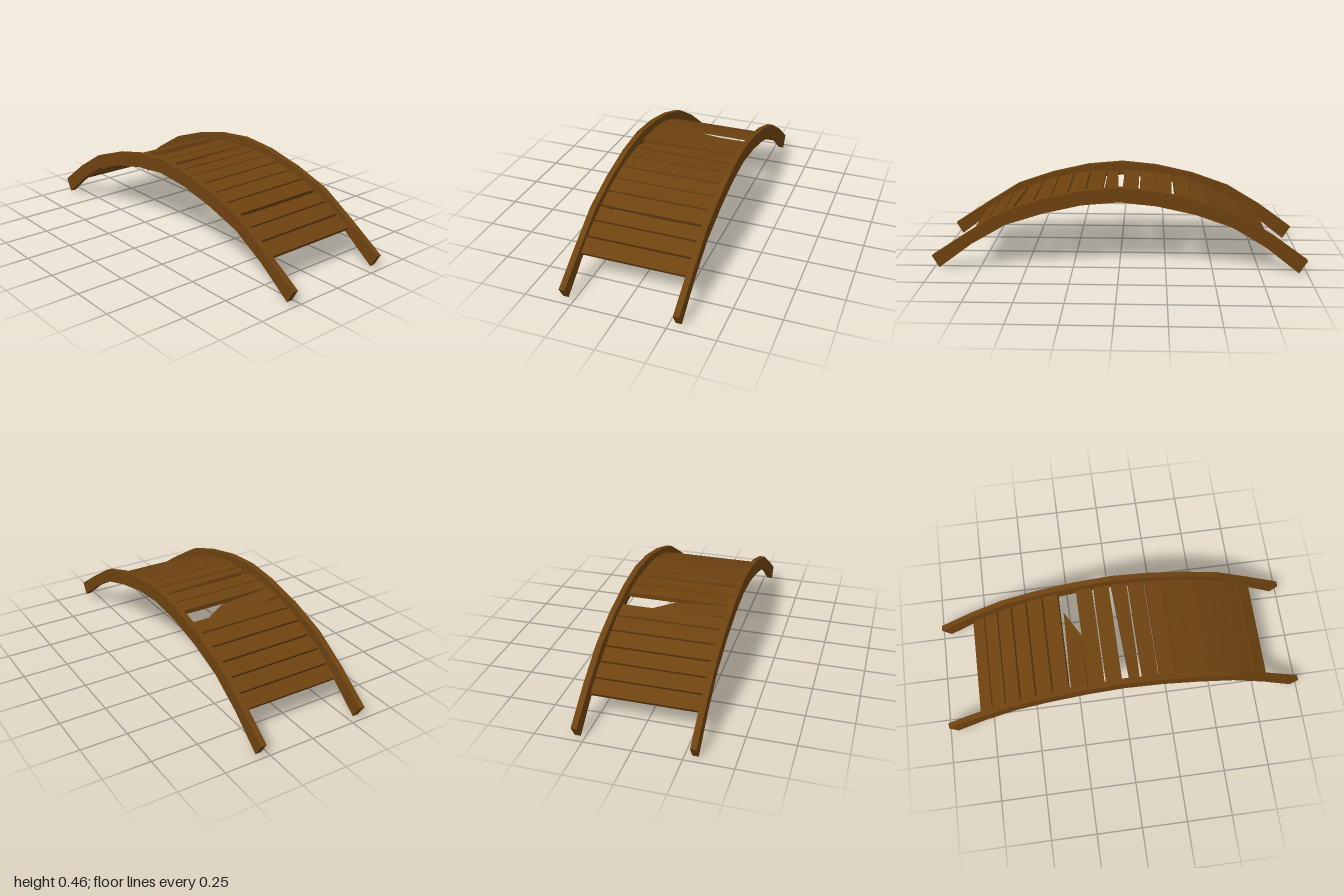
import * as THREE from 'three';

const wood = new THREE.MeshStandardMaterial({ color: 0x6e4210 });
wood.name = 'brown wood';

const THICK = 0.025;
const HALF = 0.284;

// Arch outline as [z, y] points
const RAIL_TOP = [[1, 0.08], [0.8, 0.212], [0.615, 0.327], [0.41, 0.397], [0.2, 0.445], [0, 0.463],
  [-0.2, 0.443], [-0.41, 0.396], [-0.62, 0.322], [-0.81, 0.208], [-1, 0.07]];
const RAIL_BOTTOM = [[-0.957, 0], [-0.78, 0.14], [-0.6, 0.25], [-0.4, 0.32], [-0.2, 0.364], [0, 0.385],
  [0.2, 0.366], [0.4, 0.32], [0.6, 0.256], [0.785, 0.148], [0.963, 0.015]];

// Walking surface as [z, y] points
const DECK = [[-0.81, 0.145], [-0.73, 0.198], [-0.65, 0.245], [-0.56, 0.288], [-0.47, 0.333], [-0.38, 0.366],
  [-0.28, 0.39], [-0.19, 0.404], [0, 0.415], [0.19, 0.406], [0.28, 0.393], [0.375, 0.37], [0.47, 0.343],
  [0.56, 0.307], [0.645, 0.269], [0.73, 0.225], [0.805, 0.175]];

// Front-to-back extent of every plank
const PLANKS = [[-0.805, -0.737], [-0.73, -0.658], [-0.65, -0.573], [-0.564, -0.485], [-0.476, -0.392],
  [-0.384, -0.3], [-0.292, -0.2], [-0.196, -0.108], [-0.1, -0.014], [0, 0.086], [0.095, 0.182],
  [0.19, 0.276], [0.285, 0.37], [0.377, 0.462], [0.471, 0.554], [0.562, 0.64], [0.648, 0.724], [0.733, 0.805]];

function deckY(z) {
  for (let i = 1; i < DECK.length; i++) {
    const [z0, y0] = DECK[i - 1], [z1, y1] = DECK[i];
    if (z <= z1) return y0 + (y1 - y0) * (z - z0) / (z1 - z0);
  }
  return DECK[DECK.length - 1][1];
}

function makeRail(x) {
  const shape = new THREE.Shape([...RAIL_TOP, ...RAIL_BOTTOM].map(([z, y]) => new THREE.Vector2(z, y)));
  const geo = new THREE.ExtrudeGeometry(shape, { depth: 0.031, bevelEnabled: false });
  geo.translate(0, 0, -0.0155).rotateY(-Math.PI / 2);
  // Slight skew along the length
  const p = geo.attributes.position;
  for (let i = 0; i < p.count; i++) p.setX(i, p.getX(i) + x + 0.005 * p.getZ(i));
  geo.computeVertexNormals();
  return new THREE.Mesh(geo, wood);
}

// Outline corners are [x, t]: t = 0 at the back edge of the plank and 1 at the front edge
const FULL = [[-HALF, 0], [HALF, 0], [HALF, 1], [-HALF, 1]];

function makePlank([z0, z1], outline = FULL, drop = 0, thick = THICK) {
  const y0 = deckY(z0), y1 = deckY(z1);
  const length = Math.hypot(z1 - z0, y1 - y0);
  const shape = new THREE.Shape(outline.map(([x, t]) => new THREE.Vector2(x + HALF, (0.5 - t) * length)));
  const geo = new THREE.ExtrudeGeometry(shape, { depth: thick, bevelEnabled: false });
  geo.rotateX(-Math.PI / 2).translate(0, -THICK, 0);
  const mesh = new THREE.Mesh(geo, wood);
  mesh.position.set(-HALF, (y0 + y1) / 2, (z0 + z1) / 2);
  mesh.rotation.set(Math.atan2(y0 - y1, z1 - z0), 0, -drop);
  return mesh;
}

export function createModel() {
  const bridge = new THREE.Group();
  bridge.name = 'archedBridge';

  const add = (mesh, name) => { mesh.name = name; bridge.add(mesh); };
  add(makeRail(0.295), 'leftRail');
  add(makeRail(-0.297), 'rightRail');

  PLANKS.forEach((span, i) => {
    if (i === 6) {
      // Snapped plank hanging from one end
      add(makePlank(span, [[-HALF, 0.03], [0.18, 0.08], [0.02, 1], [-HALF, 1]], 0.085), 'snappedPlank');
    } else if (i === 9) {
      // Plank with a splintered back edge
      add(makePlank(span, [[-0.26, 0.3], [HALF, 0], [HALF, 1], [-HALF, 0.95], [-HALF, 0.85]]), 'chippedPlank');
    } else if (i === 15) {
      // Plank split along its back edge, with a thin layer left below
      add(makePlank(span, [[-HALF, 0], [0.13, 0.48], [HALF, 0.17], [HALF, 1], [-HALF, 1]]), 'splitPlank');
      add(makePlank(span, FULL, 0, 0.012), 'splitPlankLayer');
    } else {
      add(makePlank(span), 'plank' + (i + 1));
    }
  });
  return bridge;
}
